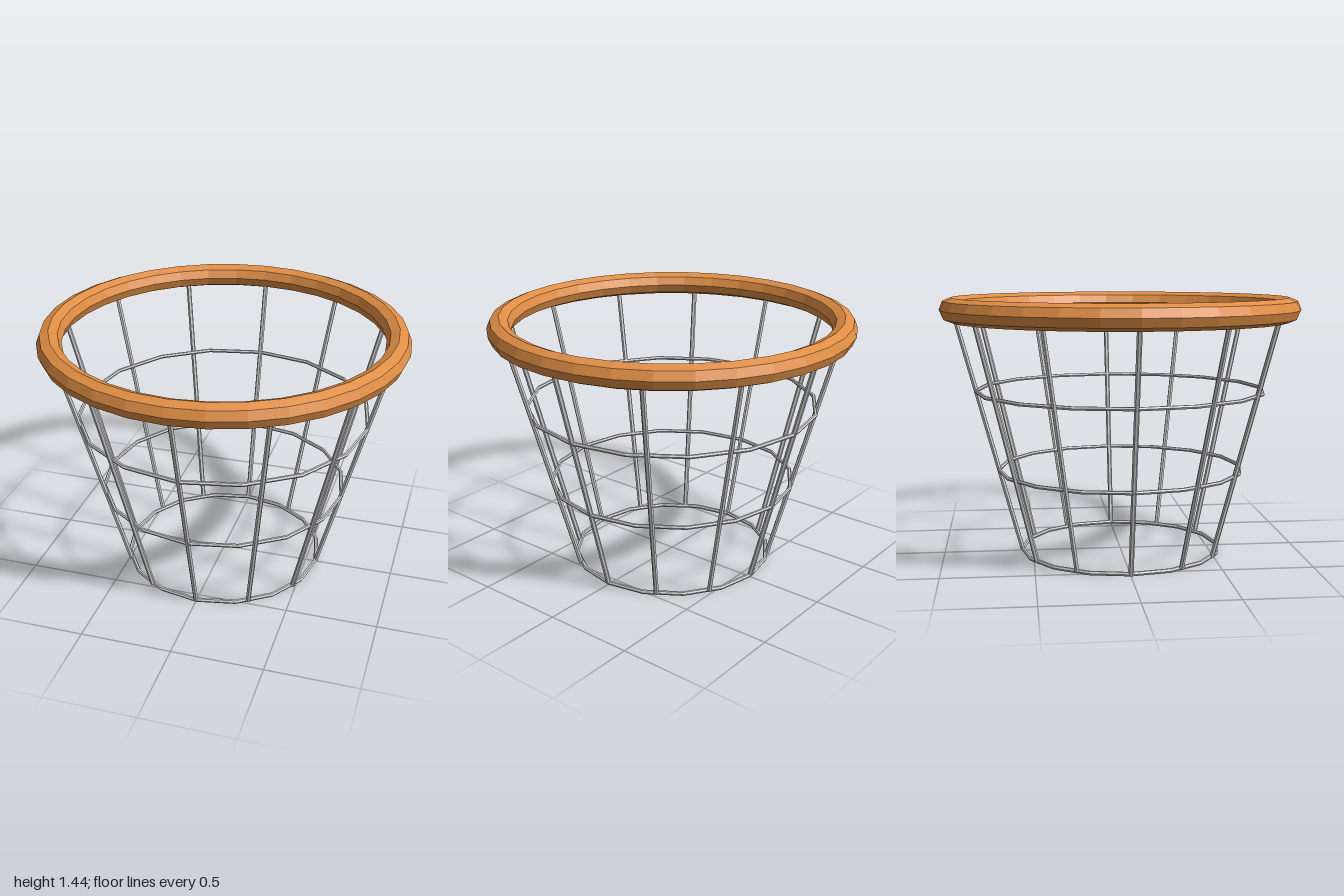
import * as THREE from 'three';

export function createModel() {
  const basket = new THREE.Group();
  basket.name = 'basket';
  const wire = new THREE.MeshStandardMaterial({ color: 0xcccccc, flatShading: true });
  const orange = new THREE.MeshStandardMaterial({ color: 0xe08e45, flatShading: true });

  function addRing(name, radius, tube, y, sides, segments, material) {
    const geometry = new THREE.TorusGeometry(radius, tube, sides, segments);
    geometry.rotateX(Math.PI / 2);
    const ring = new THREE.Mesh(geometry, material);
    ring.name = name;
    ring.position.y = y;
    basket.add(ring);
  }

  // Thick rim and the three wire hoops
  addRing('rim', 0.933, 0.067, 1.375, 8, 32, orange);
  addRing('bottomHoop', 0.56, 0.012, 0.012, 6, 16, wire);
  addRing('lowerHoop', 0.687, 0.011, 0.475, 6, 16, wire);
  addRing('upperHoop', 0.808, 0.011, 0.922, 6, 16, wire);

  // Twelve slanted bars from the bottom hoop into the rim
  const foot = new THREE.Vector3(0.56, 0.012, 0);
  const head = new THREE.Vector3(0.927, 1.375, 0);
  const slope = head.clone().sub(foot);
  const barGeometry = new THREE.CylinderGeometry(0.014, 0.014, slope.length(), 6);
  barGeometry.rotateZ(-Math.atan2(slope.x, slope.y));
  barGeometry.translate((foot.x + head.x) / 2, (foot.y + head.y) / 2, 0);
  const bars = new THREE.Group();
  bars.name = 'bars';
  for (let i = 0; i < 12; i++) {
    const bar = new THREE.Mesh(barGeometry, wire);
    bar.name = 'bar';
    bar.rotation.y = (i * Math.PI) / 6;
    bars.add(bar);
  }
  basket.add(bars);
  return basket;
}
